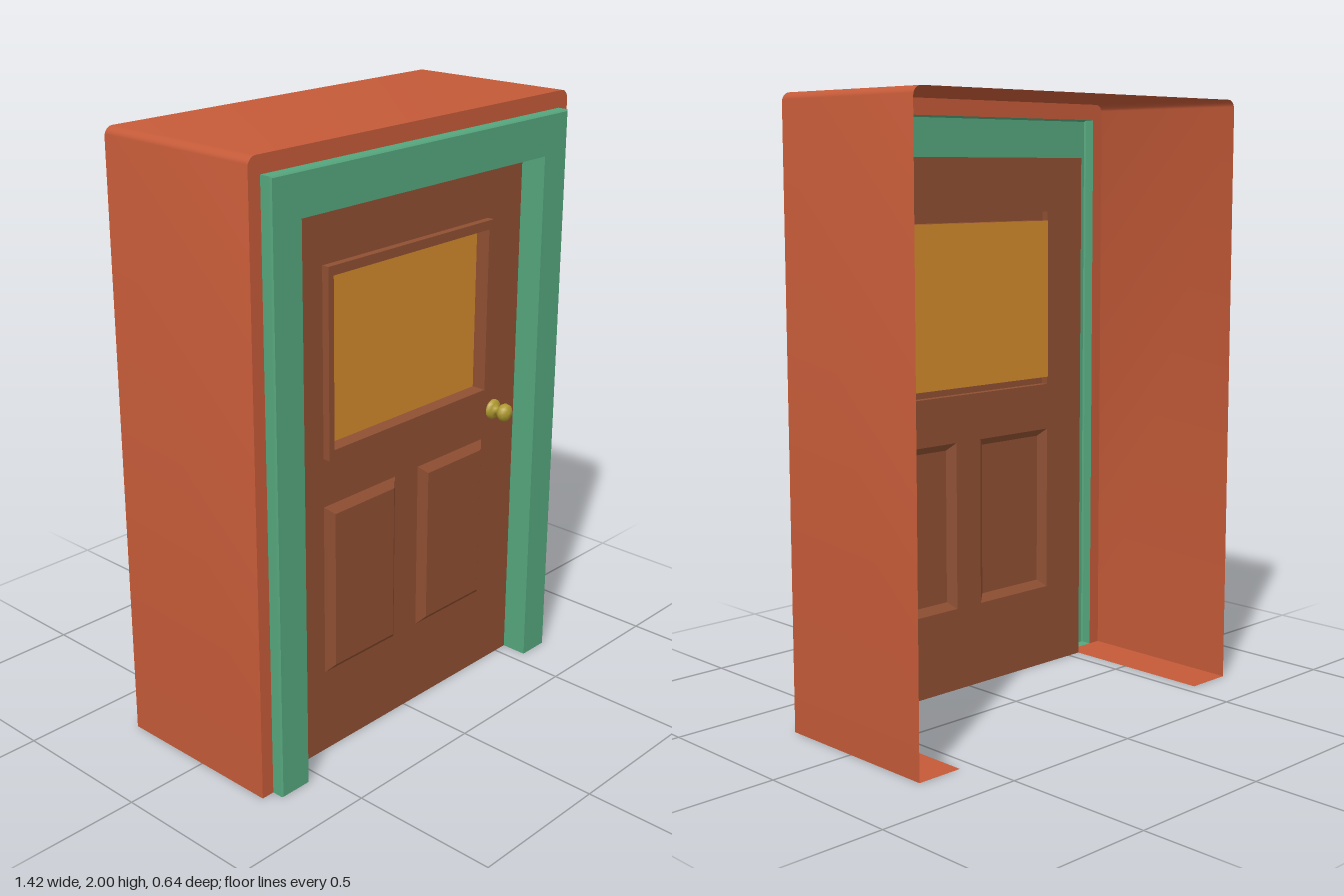
import * as THREE from 'three';
import { toCreasedNormals } from 'three/addons/utils/BufferGeometryUtils.js';

const mat = (color) => new THREE.MeshStandardMaterial({ color, side: THREE.DoubleSide });
const WALL = mat(0xc45a38), TRIM = mat(0x55a67d), WOOD = mat(0x8f4f32), GLASS = mat(0xd38a2c), BRASS = mat(0xb09a30);

const DOOR_Z = 0.23, WALL_Z = 0.28, TRIM_Z = 0.32, BACK_Z = -0.32;

// Joins successive outlines [{pts, z}] into a thin skin; outlines run counter-clockwise from the front
function skin(rings, closed) {
  const pos = [], index = [], n = rings[0].pts.length;
  rings.forEach(({ pts, z }) => pts.forEach(([x, y]) => pos.push(x, y, z)));
  for (let r = 0; r < rings.length - 1; r++) {
    for (let i = 0; i < (closed ? n : n - 1); i++) {
      const a = r * n + i, b = r * n + (i + 1) % n;
      index.push(a, b, b + n, a, b + n, a + n);
    }
  }
  const g = new THREE.BufferGeometry();
  g.setAttribute('position', new THREE.Float32BufferAttribute(pos, 3));
  g.setIndex(index);
  return toCreasedNormals(g, 0.5);
}

// Flat face with optional holes
function face(pts, z, holes = []) {
  const toV = (p) => p.map(([x, y]) => new THREE.Vector2(x, y));
  const s = new THREE.Shape(toV(pts));
  holes.forEach((h) => s.holes.push(new THREE.Path(toV(h))));
  return new THREE.ShapeGeometry(s).translate(0, 0, z);
}

const rect = (x0, y0, x1, y1) => [[x0, y0], [x1, y0], [x1, y1], [x0, y1]];

// Doorway outline from the right foot over the top to the left foot, with rounded top corners
function arch(w, h, r = 0) {
  if (!r) return [[w, 0], [w, h], [-w, h], [-w, 0]];
  const pts = [[w, 0]];
  for (const [side, start] of [[1, 0], [-1, Math.PI / 2]]) {
    for (let i = 0; i <= 6; i++) {
      const a = start + (i / 6) * Math.PI / 2;
      pts.push([side * (w - r) + r * Math.cos(a), h - r + r * Math.sin(a)]);
    }
  }
  return [...pts, [-w, 0]];
}

export function createModel() {
  const model = new THREE.Group();
  const add = (name, geometry, material, parent = model) => {
    const m = new THREE.Mesh(geometry, material);
    m.name = name;
    parent.add(m);
    return m;
  };

  const outer = arch(0.71, 2, 0.03), trimOuter = arch(0.665, 1.945), opening = arch(0.55, 1.81);
  const withFeet = (pts) => [[0.55, 0], ...pts, [-0.55, 0]];
  const ring = (a, b) => [...a, ...[...b].reverse()];

  // Open-backed wall box with floor strips beside the door
  const wall = new THREE.Group();
  wall.name = 'wall';
  model.add(wall);
  add('wallShell', skin([{ pts: withFeet(outer), z: BACK_Z }, { pts: withFeet(outer), z: WALL_Z }]), WALL, wall);
  add('wallFront', face(ring(outer, trimOuter), WALL_Z), WALL, wall);

  // Hollow door frame: outer edge, front face and inner jambs
  const frame = new THREE.Group();
  frame.name = 'doorFrame';
  model.add(frame);
  const lip = arch(0.66, 1.94);
  add('frameEdge', skin([
    { pts: withFeet(trimOuter), z: WALL_Z },
    { pts: withFeet(trimOuter), z: TRIM_Z - 0.005 },
    { pts: withFeet(lip), z: TRIM_Z },
  ]), TRIM, frame);
  add('frameFront', face(ring(lip, opening), TRIM_Z), TRIM, frame);
  add('frameJambs', skin([{ pts: opening, z: TRIM_Z }, { pts: opening, z: DOOR_Z }]), TRIM, frame);

  // Door leaf with cut-outs for the window and the two lower panels
  const door = new THREE.Group();
  door.name = 'door';
  model.add(door);
  const win = rect(-0.38, 1.02, 0.38, 1.625), pane = rect(-0.358, 1.05, 0.358, 1.595);
  const panels = [[-0.38, -0.055], [0.055, 0.38]];
  add('doorLeaf', face(rect(-0.55, 0, 0.55, 1.81), DOOR_Z,
    [win, ...panels.map(([a, b]) => rect(a, 0.285, b, 0.86))]), WOOD, door);

  // Raised panels with bevelled edges
  for (const [a, b] of panels) {
    const inner = rect(a + 0.028, 0.31, b - 0.028, 0.835);
    add('panelBevel', skin([{ pts: rect(a, 0.285, b, 0.86), z: DOOR_Z }, { pts: inner, z: DOOR_Z + 0.022 }], true), WOOD, door);
    add('panelFace', face(inner, DOOR_Z + 0.022), WOOD, door);
  }

  // Window moulding and recessed pane
  add('windowMoulding', skin([
    { pts: win, z: DOOR_Z },
    { pts: win, z: DOOR_Z + 0.025 },
    { pts: pane, z: DOOR_Z + 0.025 },
    { pts: pane, z: DOOR_Z - 0.025 },
  ], true), WOOD, door);
  add('windowPane', face(pane, DOOR_Z - 0.025), GLASS, door);

  // Turned door knob with a base plate
  const profile = [[0.034, 0], [0.034, 0.008], [0.026, 0.016], [0.013, 0.02], [0.013, 0.032],
    [0.024, 0.038], [0.031, 0.05], [0.028, 0.064], [0.016, 0.073], [0, 0.076]];
  const knob = new THREE.LatheGeometry(profile.map(([x, y]) => new THREE.Vector2(x, y)), 16);
  add('doorKnob', knob.rotateX(Math.PI / 2), BRASS, door).position.set(0.435, 0.955, DOOR_Z);

  return model;
}
